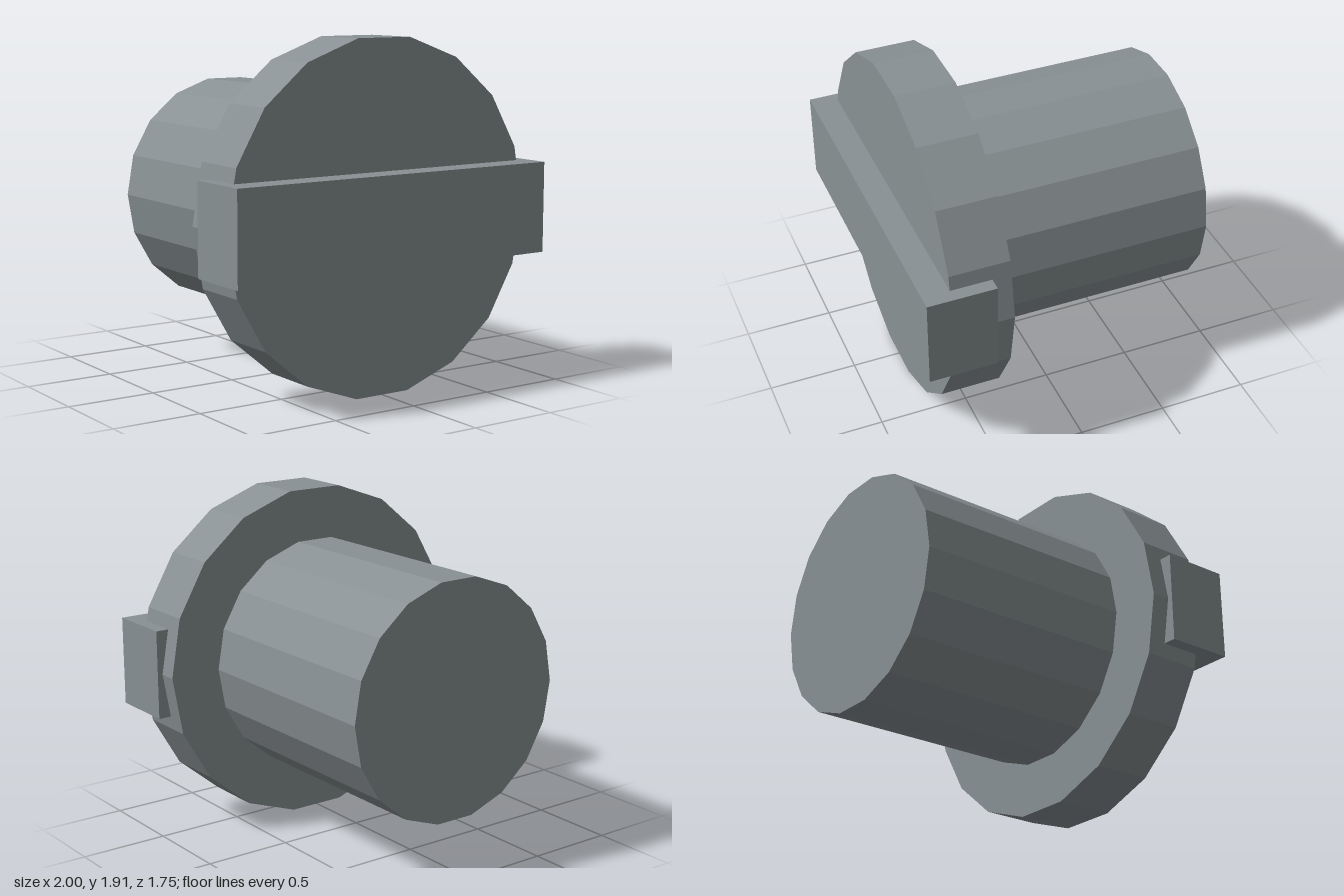
import * as THREE from 'three';

const CENTRE_Y = 0.955;

export function createModel() {
  const group = new THREE.Group();
  const metal = new THREE.MeshStandardMaterial({ color: 0x899194, flatShading: true });
  metal.name = 'greyMetal';

  const add = (name, geometry, z) => {
    const mesh = new THREE.Mesh(geometry, metal);
    mesh.name = name;
    mesh.position.set(0, CENTRE_Y, z);
    group.add(mesh);
  };

  // 18-sided cylinder lying along z, with corners on the left and right
  const addRound = (name, radius, zBack, zFront) => {
    const geometry = new THREE.CylinderGeometry(
      radius, radius, zFront - zBack, 18, 1, false, Math.PI / 2);
    add(name, geometry.rotateX(Math.PI / 2), (zBack + zFront) / 2);
  };

  addRound('shaft', 0.67, -0.875, 0.39);
  addRound('flange', 0.97, 0.39, 0.725);

  // Crossbar set into the flange, its ends standing out past the rim
  add('crossbar', new THREE.BoxGeometry(2, 0.505, 0.38), 0.685);

  return group;
}
